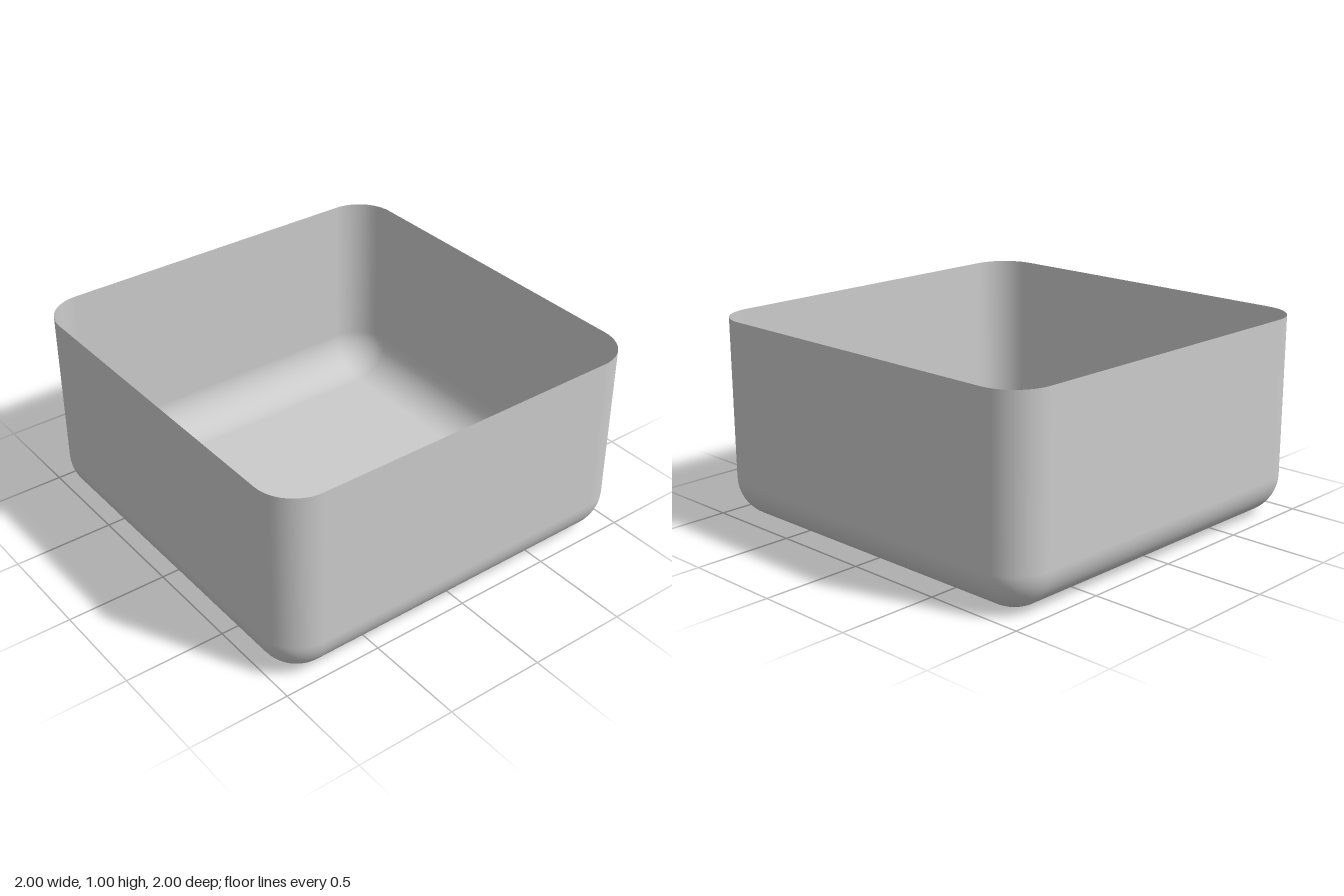
import * as THREE from 'three';

const HALF = 1, HEIGHT = 1, RADIUS = 0.2, STEPS = 12;

// Open thin-walled shell: stacked rounded-square rings with spherical lower corners
function openBoxGeometry() {
  const positions = [], normals = [], indices = [];
  const core = HALF - RADIUS;
  const ringSize = 4 * (STEPS + 1);

  function addRing(phi, y) {
    const s = Math.sin(phi), c = Math.cos(phi);
    for (let k = 0; k < 4; k++) {
      const mid = (k + 0.5) * Math.PI / 2;
      const cx = core * Math.sign(Math.cos(mid)), cz = core * Math.sign(Math.sin(mid));
      for (let j = 0; j <= STEPS; j++) {
        const a = (k + j / STEPS) * Math.PI / 2;
        const nx = s * Math.cos(a), nz = s * Math.sin(a);
        positions.push(cx + RADIUS * nx, y, cz + RADIUS * nz);
        normals.push(nx, -c, nz);
      }
    }
  }

  // Rounded bottom edge, then the straight wall up to the rim
  for (let i = 0; i <= STEPS; i++) {
    const phi = i / STEPS * Math.PI / 2;
    addRing(phi, RADIUS * (1 - Math.cos(phi)));
  }
  addRing(Math.PI / 2, HEIGHT);

  for (let i = 0; i <= STEPS; i++) {
    for (let j = 0; j < ringSize; j++) {
      const next = (j + 1) % ringSize;
      const a = i * ringSize + j, b = i * ringSize + next;
      const d = a + ringSize, e = b + ringSize;
      // The first ring has zero corner radius, so only its straight sides need a lower triangle
      if (i > 0 || j % (STEPS + 1) === STEPS) indices.push(a, e, b);
      indices.push(a, d, e);
    }
  }

  // Flat floor
  const q = STEPS + 1;
  indices.push(0, q, 2 * q, 0, 2 * q, 3 * q);

  const geometry = new THREE.BufferGeometry();
  geometry.setAttribute('position', new THREE.Float32BufferAttribute(positions, 3));
  geometry.setAttribute('normal', new THREE.Float32BufferAttribute(normals, 3));
  geometry.setIndex(indices);
  return geometry;
}

export function createModel() {
  const group = new THREE.Group();
  group.name = 'openBox';
  const material = new THREE.MeshStandardMaterial({ color: 0xcccccc, side: THREE.DoubleSide });
  const shell = new THREE.Mesh(openBoxGeometry(), material);
  shell.name = 'boxShell';
  group.add(shell);
  return group;
}
